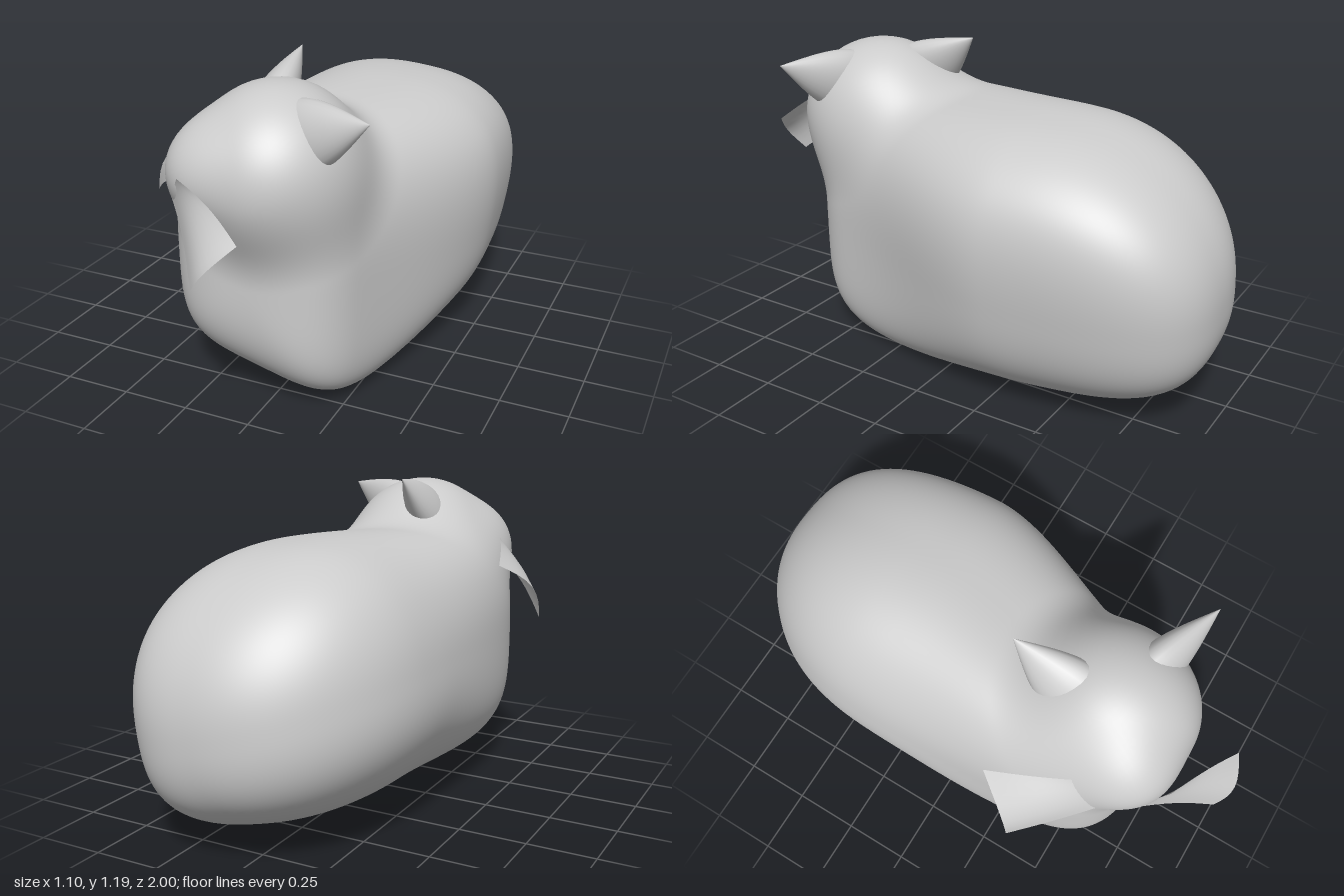
import * as THREE from 'three';
import { mergeVertices } from 'three/addons/utils/BufferGeometryUtils.js';

const { lerp, smoothstep } = THREE.MathUtils;
const V = (x, y, z) => new THREE.Vector3(x, y, z);
const material = new THREE.MeshStandardMaterial({ color: 0xcccccc, side: THREE.DoubleSide });

// Rounded, leaning loaf: negative inside, positive outside
function loaf(p) {
  const f = smoothstep(p.z, -0.3, 0.5);
  const rear = Math.max(0, -p.z - 0.4) ** 2;
  const cx = lerp(0.05, -0.045, f) + 0.2 * rear;
  const cy = lerp(0.53, 0.5, f) - 0.25 * rear;
  const low = smoothstep(cy - p.y, -0.3, 0.3);
  const a = lerp(0.5, 0.38, f);
  const h = lerp(0.49, 0.455, f * low);
  const dx = p.x - cx - lerp(0.16, 0, f) * (p.y - cy);
  const dy = p.y - cy + lerp(0.1, 0.26, low) * (p.x - cx);
  const w = Math.abs(p.z + 0.155) / 0.845;
  const q = lerp(2.5, lerp(3, 4.2, low), f);
  const n = lerp(2.4, 2.9, f);
  const section = (Math.abs(dx / a) ** q + Math.abs(dy / h) ** q) ** (n / q);
  const b = section + w ** (p.z < -0.155 ? 2.7 : 5.2);
  return (b ** (1 / n) - 1) * 0.45;
}

function ellipsoid(p, c, r) {
  return (Math.hypot((p.x - c.x) / r.x, (p.y - c.y) / r.y, (p.z - c.z) / r.z) - 1) * Math.min(r.x, r.y, r.z);
}

function blend(a, b, k) {
  const h = Math.max(k - Math.abs(a - b), 0) / k;
  return Math.min(a, b) - h * h * k * 0.25;
}

// Loaf, skull and muzzle melted into one skin
const skull = [V(0, 0.865, 0.48), V(0.295, 0.3, 0.32)];
const muzzle = [V(-0.16, 0.88, 0.61), V(0.165, 0.17, 0.18)];
function skin(p) {
  const head = blend(ellipsoid(p, ...skull), ellipsoid(p, ...muzzle), 0.08);
  return blend(loaf(p), head, 0.12);
}

// Push each point of a sphere outward until it meets the skin
function bodyGeometry() {
  let g = new THREE.IcosahedronGeometry(1, 36);
  g.deleteAttribute('uv');
  g.deleteAttribute('normal');
  g = mergeVertices(g, 1e-5);
  const pos = g.attributes.position;
  const centre = V(0.02, 0.52, 0);
  const dir = V(), p = V();
  for (let i = 0; i < pos.count; i++) {
    dir.fromBufferAttribute(pos, i);
    dir.z *= 1.5;
    dir.normalize();
    const at = (r) => skin(p.copy(centre).addScaledVector(dir, r));
    let hi = 1.3;
    while (hi > 0.05 && at(hi - 0.02) > 0) hi -= 0.02;
    let lo = hi - 0.02;
    for (let k = 0; k < 12; k++) {
      const mid = (lo + hi) / 2;
      if (at(mid) > 0) hi = mid; else lo = mid;
    }
    at(lo);
    pos.setXYZ(i, p.x, p.y, p.z);
  }
  g.computeVertexNormals();
  return g;
}

// Pointed ear, flattened along the direction the face looks
function ear(name, base, tip) {
  const axis = tip.clone().sub(base);
  const len = axis.length();
  const profile = new THREE.SplineCurve([
    [0.13, 0], [0.115, 0.25], [0.085, 0.5], [0.045, 0.75], [0.001, 1],
  ].map(([r, t]) => new THREE.Vector2(r, t * len))).getPoints(14);
  const mesh = new THREE.Mesh(new THREE.LatheGeometry(profile, 24).scale(1, 1, 0.6), material);
  axis.normalize();
  const across = axis.clone().cross(V(-0.67, 0, 0.74)).normalize();
  mesh.quaternion.setFromRotationMatrix(
    new THREE.Matrix4().makeBasis(across, axis, across.clone().cross(axis)));
  mesh.position.copy(base);
  mesh.name = name;
  return mesh;
}

// Thin curved flap between a root edge and a tip edge
function flap(name, rootTop, rootLow, tipTop, tipLow, cup, bow) {
  const g = new THREE.PlaneGeometry(1, 1, 12, 8);
  const pos = g.attributes.position;
  for (let i = 0; i < pos.count; i++) {
    const u = pos.getX(i) + 0.5, v = 0.5 - pos.getY(i);
    const p = rootTop.clone().lerp(tipTop, u).lerp(rootLow.clone().lerp(tipLow, u), v);
    p.addScaledVector(cup, u * Math.sin(Math.PI * v));
    p.addScaledVector(bow, Math.sin(Math.PI * u));
    pos.setXYZ(i, p.x, p.y, p.z);
  }
  g.computeVertexNormals();
  const mesh = new THREE.Mesh(g, material);
  mesh.name = name;
  return mesh;
}

export function createModel() {
  const group = new THREE.Group();
  group.name = 'loafingAnimal';

  const body = new THREE.Mesh(bodyGeometry(), material);
  body.name = 'bodyAndHead';
  body.geometry.computeBoundingBox();
  body.position.y = -body.geometry.boundingBox.min.y;
  group.add(body);

  group.add(
    ear('leftEar', V(0.12, 1.0, 0.55), V(0.4, 1.11, 0.65)),
    ear('rightEar', V(-0.08, 1.02, 0.37), V(-0.08, 1.185, 0.12)),
  );

  // Cheek flaps on either side of the muzzle
  group.add(
    flap('leftCheekFlap', V(-0.19, 0.9, 0.81), V(-0.28, 0.79, 0.71),
      V(0.1, 0.78, 0.95), V(-0.06, 0.605, 0.97), V(-0.01, 0, 0.04), V(0.01, 0.015, 0)),
    flap('rightCheekFlap', V(-0.29, 0.94, 0.58), V(-0.28, 0.82, 0.67),
      V(-0.44, 0.87, 0.22), V(-0.55, 0.65, 0.38), V(-0.035, 0.015, 0.045), V(-0.01, 0.015, 0)),
  );
  return group;
}
